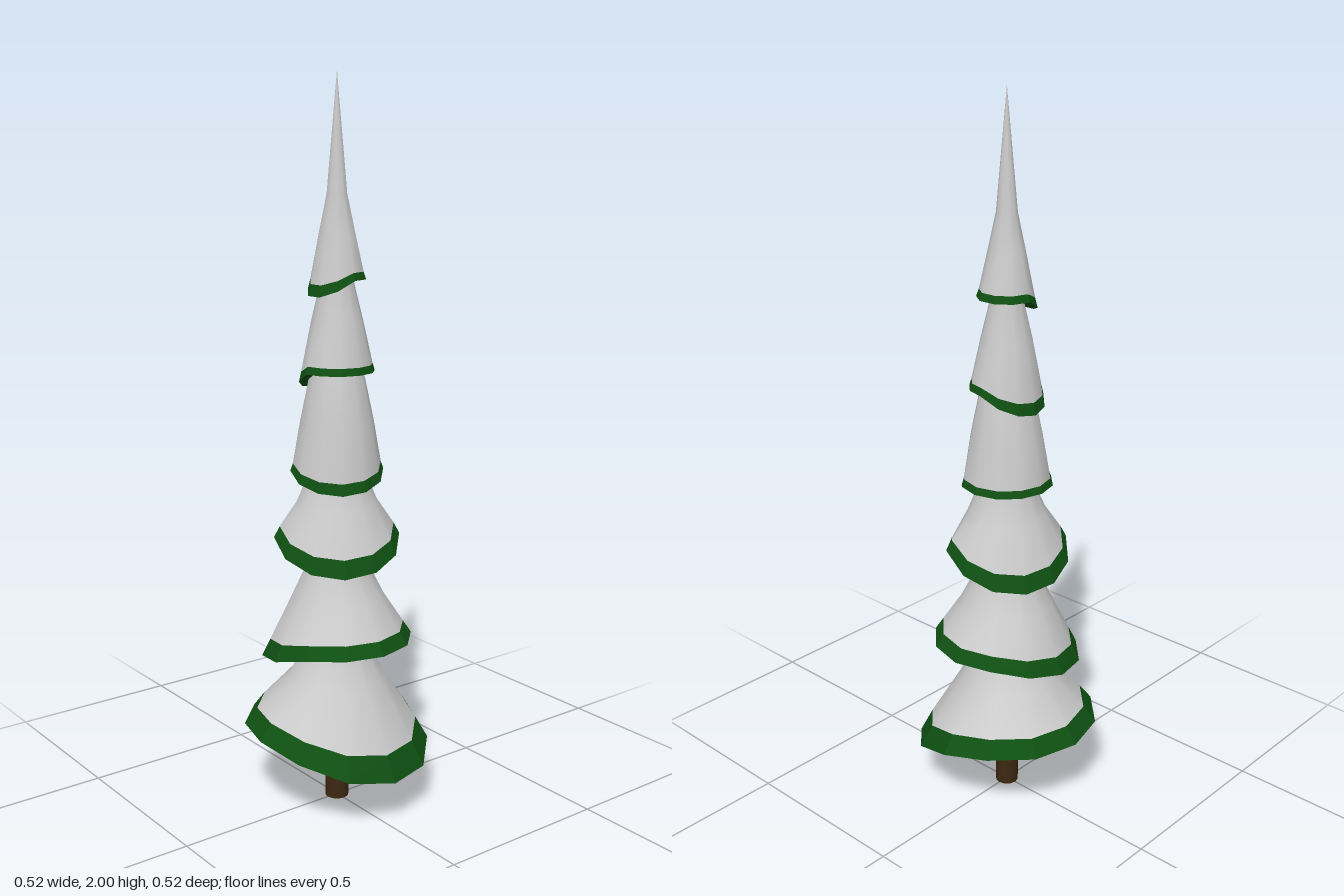
import * as THREE from 'three';

const paint = (color, flatShading) => new THREE.MeshStandardMaterial({ color, flatShading });

// Skin over stacked rings [radius, y, droop share]; each ring sags by droop(angle).
function loft(rings, sides, droop) {
  const pos = [], index = [];
  for (const [r, y, share] of rings) {
    for (let j = 0; j < sides; j++) {
      const a = Math.PI / 2 + (j / sides) * Math.PI * 2;
      pos.push(r * Math.cos(a), y - share * droop(a), r * Math.sin(a));
    }
  }
  for (let i = 0; i < rings.length - 1; i++) {
    for (let j = 0; j < sides; j++) {
      const k = (j + 1) % sides;
      const a = i * sides + j, b = i * sides + k;
      const c = a + sides, d = b + sides;
      if (rings[i][0] > 0) index.push(a, c, b);
      if (rings[i + 1][0] > 0) index.push(b, c, d);
    }
  }
  const g = new THREE.BufferGeometry();
  g.setAttribute('position', new THREE.Float32BufferAttribute(pos, 3));
  g.setIndex(index);
  g.computeVertexNormals();
  return g;
}

// rim, edge, mid, neck: [radius, y]; tip: y of apex; sag: depth; dirs: degrees from +x towards +z
const TIERS = [
  { rim: [0.26, 0.23], edge: [0.225, 0.275], mid: [0.135, 0.37], neck: [0.08, 0.48], tip: 0.8, sag: 0.1, dirs: [77] },
  { rim: [0.209, 0.48], edge: [0.186, 0.515], mid: [0.13, 0.6], neck: [0.075, 0.71], tip: 1.05, sag: 0.055, dirs: [235] },
  { rim: [0.173, 0.77], edge: [0.157, 0.80], mid: [0.11, 0.87], neck: [0.075, 0.95], tip: 1.3, sag: 0.075, dirs: [120, 300] },
  { rim: [0.127, 0.955], edge: [0.12, 0.975], mid: [0.1, 1.09], neck: [0.077, 1.2], tip: 1.5, sag: 0.045, dirs: [120] },
  { rim: [0.102, 1.225], edge: [0.096, 1.245], mid: [0.07, 1.36], neck: [0.043, 1.47], tip: 1.8, sag: 0.055, dirs: [270] },
  { rim: [0.08, 1.47], edge: [0.073, 1.49], mid: [0.05, 1.59], neck: [0.028, 1.69], tip: 2, sag: 0.045, dirs: [180], sides: 10 },
];

export function createModel() {
  const tree = new THREE.Group();
  tree.name = 'snowyFirTree';
  const green = paint(0x0f5012, true);
  const snow = paint(0xcccccc, false);

  // Trunk
  const trunk = new THREE.Mesh(new THREE.CylinderGeometry(0.033, 0.033, 0.4, 12), paint(0x3d2812, false));
  trunk.position.y = 0.2;
  trunk.name = 'trunk';
  tree.add(trunk);

  // Branch tiers: green skirt with closed underside, snow cover above
  TIERS.forEach(({ rim, edge, mid, neck, tip, sag, dirs, sides = 12 }, i) => {
    const droop = (a) => sag * Math.max(0, ...dirs.map((d) => Math.cos(a - THREE.MathUtils.degToRad(d))));
    const tier = new THREE.Group();
    tier.name = `branchTier${i + 1}`;
    const skirt = new THREE.Mesh(loft([[0, rim[1], 0], [...rim, 1], [...edge, 0.75]], sides, droop), green);
    skirt.name = 'greenSkirt';
    const cover = new THREE.Mesh(loft([[...edge, 0.75], [...mid, 0.15], [...neck, 0], [0, tip, 0]], sides, droop), snow);
    cover.name = 'snowCover';
    tier.add(skirt, cover);
    tree.add(tier);
  });
  return tree;
}
